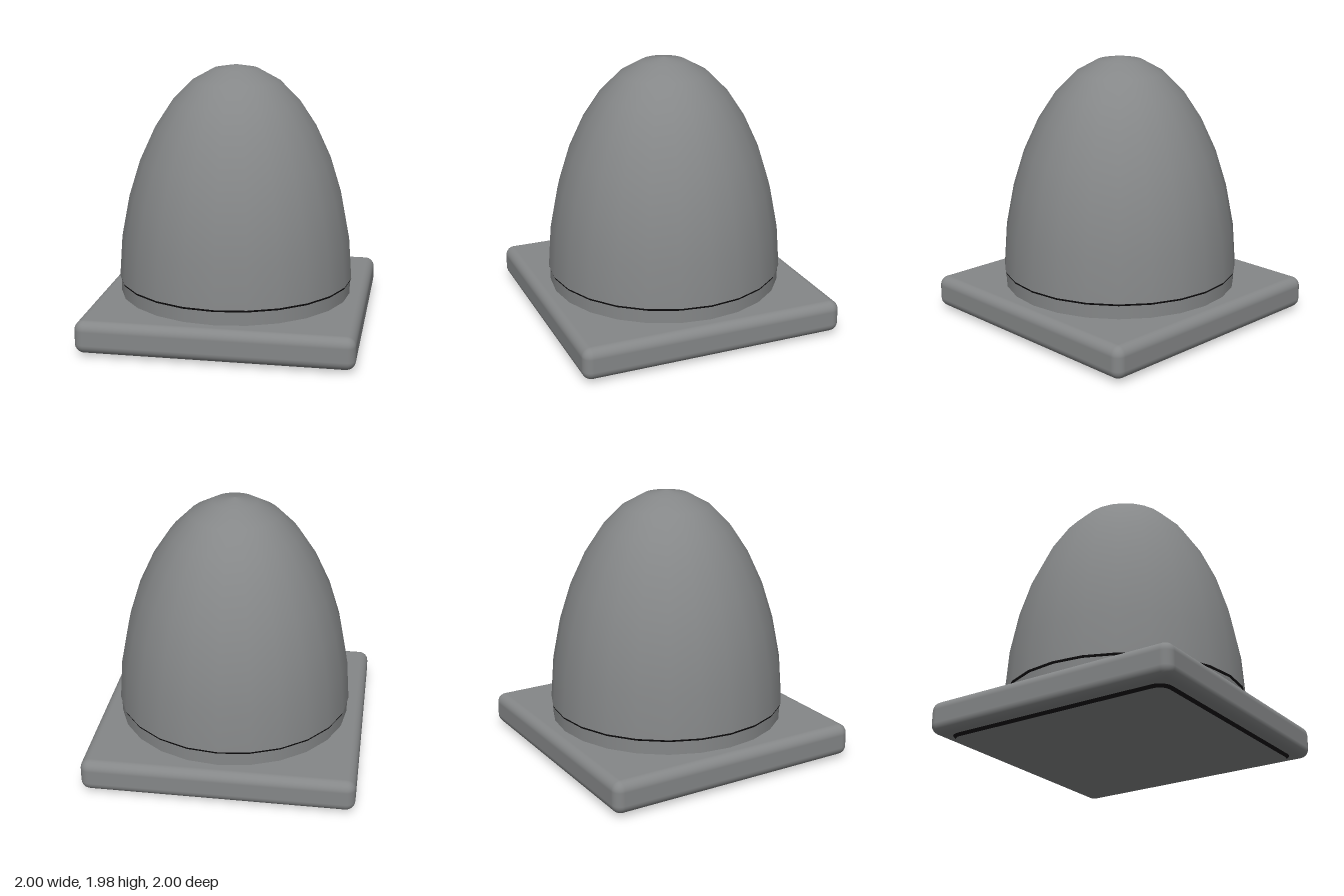
import * as THREE from 'three';
import { RoundedBoxGeometry } from 'three/addons/geometries/RoundedBoxGeometry.js';

const grey = new THREE.MeshStandardMaterial({ color: 0x858788 });
grey.name = 'grey';
const black = new THREE.MeshStandardMaterial({ color: 0x141214 });
black.name = 'black';

function add(group, name, geometry, material, y = 0) {
  const mesh = new THREE.Mesh(geometry, material);
  mesh.name = name;
  mesh.position.y = y;
  group.add(mesh);
}

// Turned part from [radius, height] pairs
function turned(points) {
  return new THREE.LatheGeometry(points.map(([r, y]) => new THREE.Vector2(r, y)), 24);
}

// Square outline with rounded corners
function roundedSquare(half, r) {
  const s = new THREE.Shape();
  const c = half - r;
  s.absarc(c, c, r, 0, Math.PI / 2);
  s.absarc(-c, c, r, Math.PI / 2, Math.PI);
  s.absarc(-c, -c, r, Math.PI, Math.PI * 1.5);
  s.absarc(c, -c, r, Math.PI * 1.5, Math.PI * 2);
  return s;
}

export function createModel() {
  const model = new THREE.Group();
  model.name = 'domedButton';

  // Square base with soft edges
  add(model, 'base', new RoundedBoxGeometry(2, 0.24, 2, 4, 0.07), grey, 0.14);

  // Shallow foot: grey underside, black bevelled rim
  const foot = new THREE.ExtrudeGeometry(roundedSquare(0.88, 0.08), {
    depth: 0.02, bevelEnabled: true, bevelThickness: 0.02,
    bevelSize: 0.02, bevelSegments: 1, curveSegments: 5,
  });
  foot.rotateX(-Math.PI / 2);
  add(model, 'foot', foot, [grey, black], 0.02);

  // Round collar between base and dome
  add(model, 'collar', new THREE.CylinderGeometry(0.875, 0.875, 0.14, 24), grey, 0.3);

  // Tall dome
  add(model, 'dome', turned([
    [0.885, 0.375], [0.862, 0.69], [0.802, 1], [0.718, 1.27], [0.605, 1.515],
    [0.477, 1.71], [0.328, 1.86], [0.166, 1.95], [0, 1.98],
  ]), grey);

  // Black ring under the dome
  add(model, 'domeRing', turned([[0.86, 0.36], [0.88, 0.36], [0.885, 0.375]]), black);

  return model;
}
